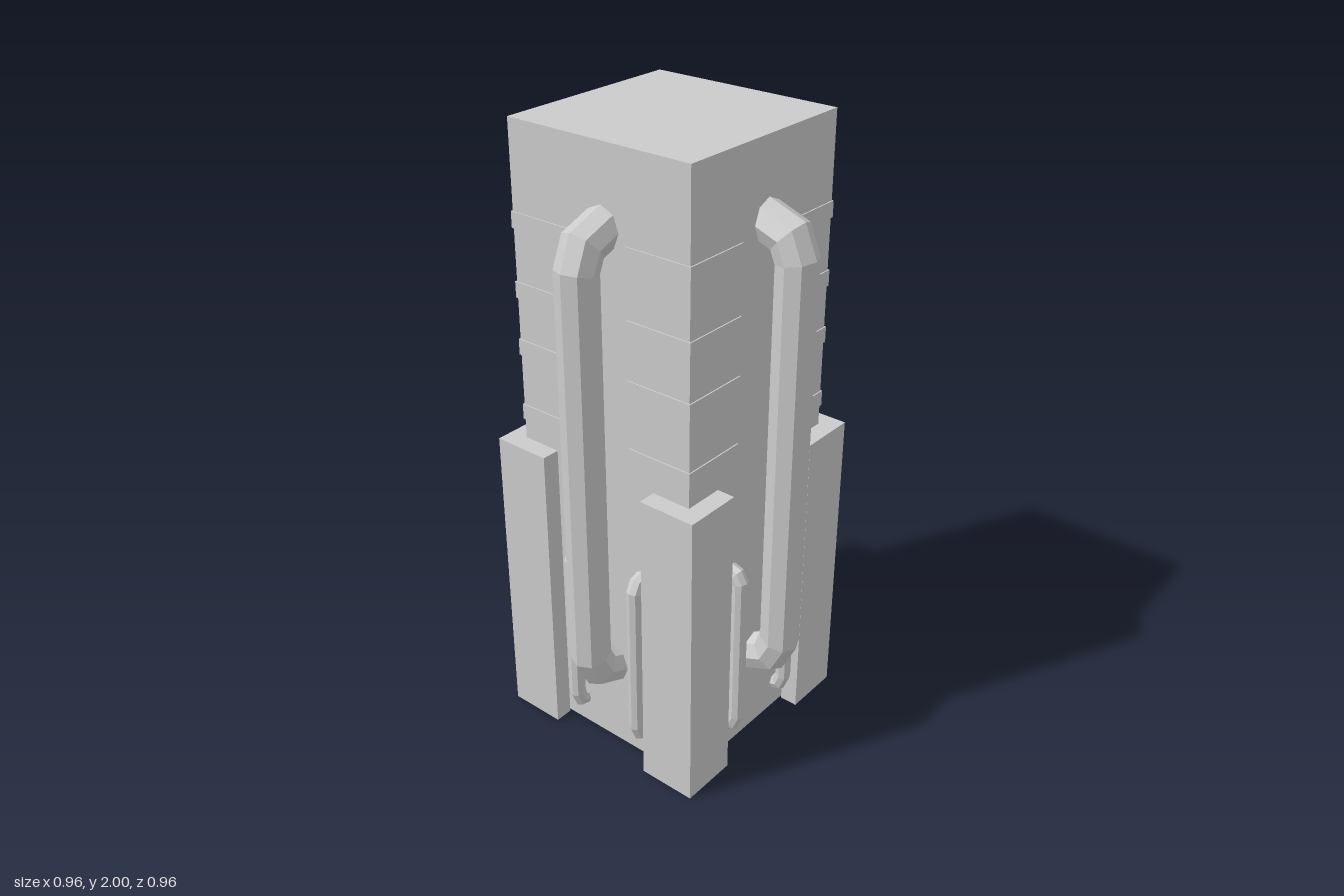
import * as THREE from 'three';

const material = new THREE.MeshStandardMaterial({ color: 0xcccccc, flatShading: true });
const CORE = 0.318; // half width of the tower
const POST = 0.377; // outer reach of the corner posts

function add(parent, name, geometry, x = 0, y = 0, z = 0) {
  const mesh = new THREE.Mesh(geometry, material);
  mesh.name = name;
  mesh.position.set(x, y, z);
  parent.add(mesh);
  return mesh;
}

// Mitred octagonal pipe following [z, y] points in the x = 0 plane
function pipeGeometry(points, radius, sides = 8) {
  const path = points.map(([z, y]) => new THREE.Vector2(z, y));
  const position = [], index = [];
  path.forEach((p, i) => {
    const before = p.clone().sub(path[Math.max(i - 1, 0)]).normalize();
    const after = path[Math.min(i + 1, path.length - 1)].clone().sub(p).normalize();
    const tangent = before.clone().add(after).normalize();
    const miter = 1 / Math.max(tangent.dot(i ? before : after), 0.5);
    for (let s = 0; s < sides; s++) {
      const a = (s / sides) * Math.PI * 2;
      const out = Math.cos(a) * radius * miter;
      position.push(Math.sin(a) * radius, p.y - tangent.x * out, p.x + tangent.y * out);
      if (i) {
        const n = (s + 1) % sides, r = i * sides, q = r - sides;
        index.push(q + s, q + n, r + n, q + s, r + n, r + s);
      }
    }
  });
  const geometry = new THREE.BufferGeometry();
  geometry.setAttribute('position', new THREE.Float32BufferAttribute(position, 3));
  geometry.setIndex(index);
  geometry.computeVertexNormals();
  return geometry;
}

// L-shaped post wrapped around one corner of the tower
function cornerPostGeometry() {
  const a = 0.188;
  const shape = new THREE.Shape([
    [a, CORE], [CORE, CORE], [CORE, a], [POST, a], [POST, POST], [a, POST],
  ].map(([x, y]) => new THREE.Vector2(x, y)));
  const geometry = new THREE.ExtrudeGeometry(shape, { depth: 1.01, bevelEnabled: false });
  return geometry.rotateX(Math.PI / 2).translate(0, 1.01, 0);
}

export function createModel() {
  const model = new THREE.Group();
  model.name = 'tower';
  const body = new THREE.Group();
  body.name = 'body';
  body.position.set(-0.004, 0, -0.004);
  model.add(body);

  add(body, 'core', new THREE.BoxGeometry(CORE * 2, 1.99, CORE * 2), 0, 1.005, 0);

  const largePipe = pipeGeometry([
    [0.29, 0.305], [0.385, 0.345], [0.417, 0.41],
    [0.417, 1.67], [0.39, 1.735], [0.29, 1.772],
  ], 0.062);
  const smallPipe = pipeGeometry([
    [0.3, 0.105], [0.338, 0.115], [0.352, 0.15],
    [0.352, 0.66], [0.338, 0.685], [0.3, 0.697],
  ], 0.025);
  const post = cornerPostGeometry();
  const bandWidth = 0.222;
  const band = new THREE.BoxGeometry(bandWidth, 0.05, bandWidth);

  // Each side repeats by a quarter turn
  for (let i = 0; i < 4; i++) {
    const side = new THREE.Group();
    side.name = 'side' + (i + 1);
    side.rotation.y = (i * Math.PI) / 2;
    body.add(side);

    add(side, 'largePipe', largePipe, 0.014, 0, 0);
    for (const x of [-0.113, 0.14]) add(side, 'smallPipe', smallPipe, x, 0, 0);
    add(side, 'cornerPost', post);

    // Thin bands wrapping the corner
    const c = CORE + 0.004 - bandWidth / 2;
    for (const y of [1.1, 1.315, 1.497, 1.708]) add(side, 'cornerBand', band, c, y, c);
  }
  return model;
}
